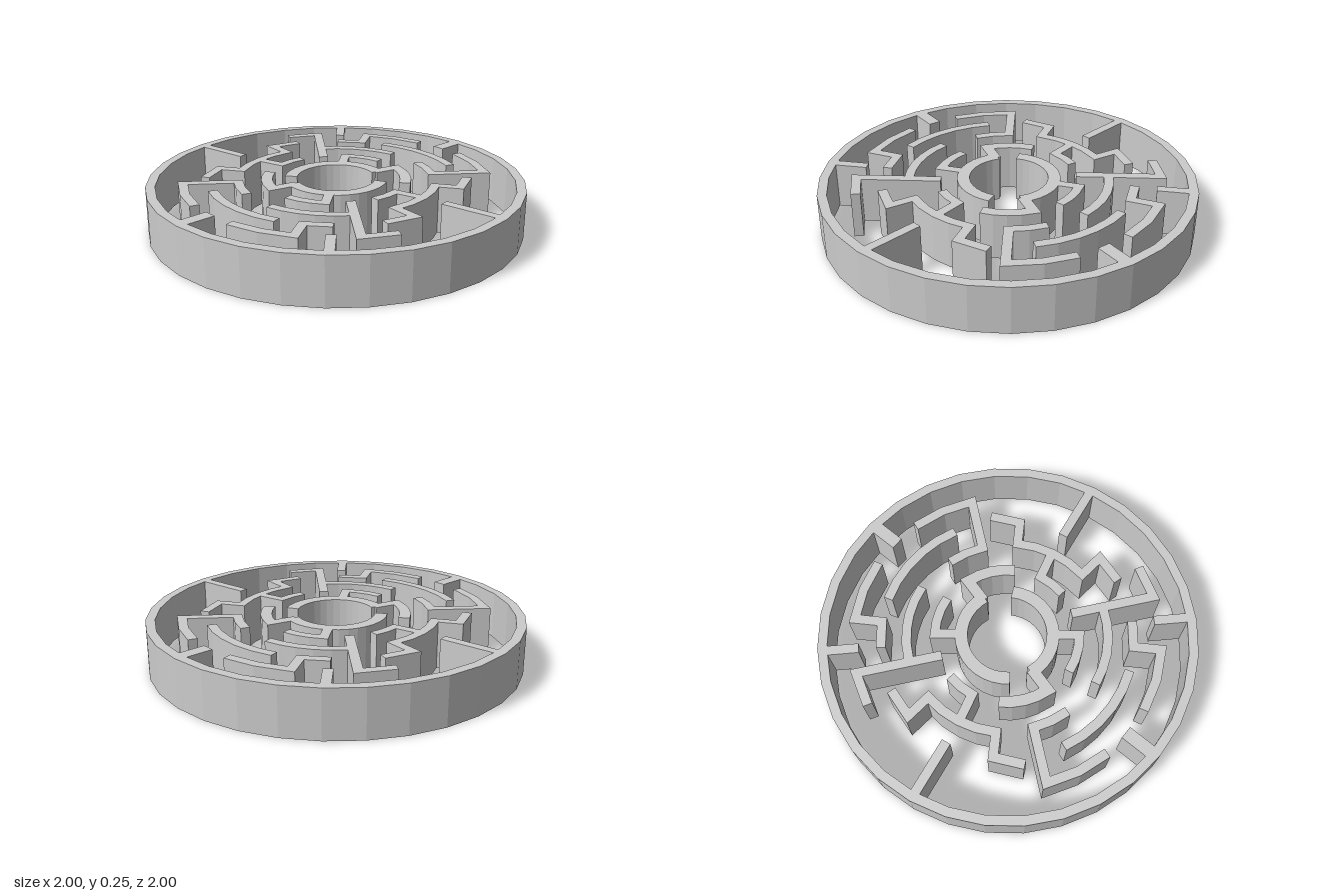
import * as THREE from 'three';

const HEIGHT = 0.255;
const material = new THREE.MeshStandardMaterial({ color: 0xcccccc, flatShading: true });

// Polar point; angle in degrees, counter-clockwise as seen from above
const polar = (r, deg) => {
  const a = THREE.MathUtils.degToRad(deg);
  return new THREE.Vector2(r * Math.cos(a), r * Math.sin(a));
};

// Nodes [radius, angle]: equal radii are joined by an arc, others by a straight wall
function centreLine(nodes) {
  const points = [polar(...nodes[0])];
  for (let i = 1; i < nodes.length; i++) {
    const [r0, a0] = nodes[i - 1], [r1, a1] = nodes[i];
    const steps = r0 === r1 ? Math.max(1, Math.round(Math.abs(a1 - a0) / 10)) : 1;
    for (let s = 1; s <= steps; s++) {
      points.push(steps === 1 ? polar(r1, a1) : polar(r0, a0 + ((a1 - a0) * s) / steps));
    }
  }
  return points;
}

// Widen a centre line into a closed outline with mitred corners
function outline(points, width) {
  const left = [], right = [];
  const normal = (a, b) => {
    const d = b.clone().sub(a).normalize();
    return new THREE.Vector2(-d.y, d.x);
  };
  points.forEach((p, i) => {
    const n0 = normal(points[Math.max(0, i - 1)], points[Math.max(1, i)]);
    const last = points.length - 1;
    const n1 = normal(points[Math.min(last - 1, i)], points[Math.min(last, i + 1)]);
    const miter = n0.clone().add(n1).normalize();
    miter.multiplyScalar(width / 2 / miter.dot(n0));
    left.push(p.clone().add(miter));
    right.unshift(p.clone().sub(miter));
  });
  return new THREE.Shape([...left, ...right]);
}

function extrudeUp(shape, name) {
  const geometry = new THREE.ExtrudeGeometry(shape, { depth: HEIGHT, bevelEnabled: false });
  geometry.rotateX(-Math.PI / 2);
  const mesh = new THREE.Mesh(geometry, material);
  mesh.name = name;
  return mesh;
}

// Walls of one half of the maze; the other half is the same turned by 180 degrees
const WALLS = [
  { name: 'innerArm', width: 0.06, nodes: [[0.23, 40], [0.37, 41], [0.37, 0]] },
  { name: 'innerHook', nodes: [[0.25, 96], [0.38, 96], [0.38, 64]] },
  { name: 'middleArc', nodes: [[0.53, 112], [0.53, 66]] },
  { name: 'longSpoke', nodes: [[0.81, 125], [0.81, 112], [0.36, 115.6]] },
  { name: 'rimSpoke', nodes: [[0.965, 102.2], [0.78, 102.3]] },
  { name: 'steppedArc', nodes: [[0.665, 103], [0.665, 90.5], [0.81, 90.5], [0.81, 66]] },
  { name: 'outerArc', nodes: [[0.665, 79], [0.665, 32]] },
  { name: 'rimStub', width: 0.07, nodes: [[0.96, 55.5], [0.8, 55.2]] },
  { name: 'zigzagWall', nodes: [[0.81, 45], [0.81, 20.6], [0.52, 21.5], [0.52, 43]] },
  { name: 'windingWall',
    nodes: [[0.7, 14], [0.66, 0.5], [0.53, 0.5], [0.53, -43], [0.67, -42], [0.67, -56]] },
  { name: 'windingBranch', nodes: [[0.53, -20.8], [0.375, -22], [0.375, -45]] },
  { name: 'sideSpoke', nodes: [[0.965, -22], [0.654, -21.3]] },
];

export function createModel() {
  const model = new THREE.Group();
  model.name = 'roundMaze';

  // Outer rim, 32 sides
  const circle = (r) => Array.from({ length: 32 }, (_, i) => polar(r, i * 11.25));
  const rim = new THREE.Shape(circle(1));
  rim.holes.push(new THREE.Path(circle(0.95)));
  model.add(extrudeUp(rim, 'outerRim'));

  // Two halves of maze walls; the core arcs differ slightly in length
  [190, 180].forEach((coreStart, side) => {
    const half = new THREE.Group();
    half.name = side ? 'frontMazeHalf' : 'backMazeHalf';
    half.rotation.y = side * Math.PI;
    half.position.z = -0.005;
    const core = { name: 'coreArc', width: 0.066, nodes: [[0.242, coreStart], [0.242, 37]] };
    for (const { name, width = 0.05, nodes } of [core, ...WALLS]) {
      half.add(extrudeUp(outline(centreLine(nodes), width), name));
    }
    model.add(half);
  });
  return model;
}
